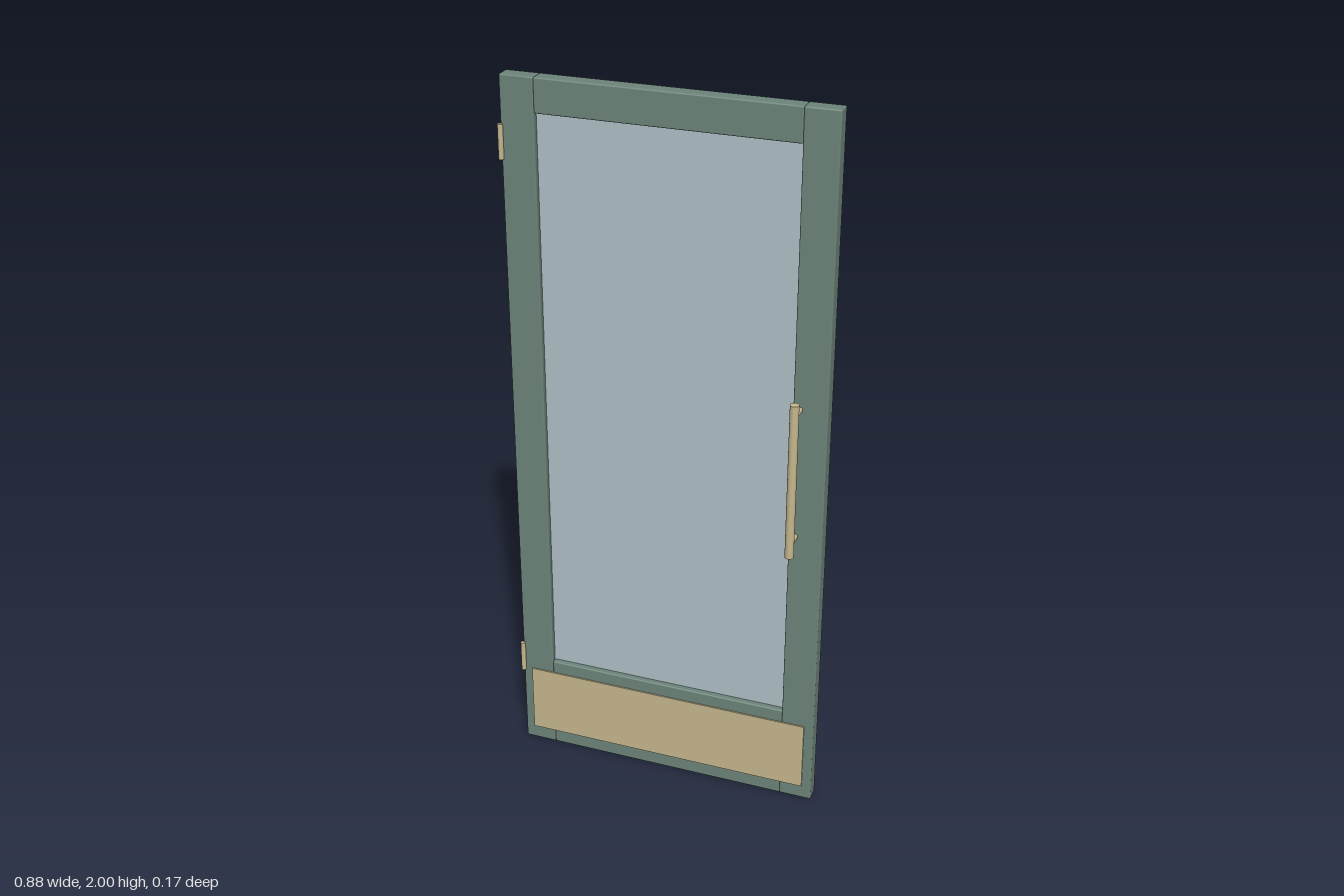
import * as THREE from 'three';
import { RoundedBoxGeometry } from 'three/addons/geometries/RoundedBoxGeometry.js';

export function createModel() {
  const door = new THREE.Group();
  door.name = 'glazedDoor';

  const material = (name, color) => {
    const m = new THREE.MeshStandardMaterial({ color });
    m.name = name;
    return m;
  };
  const green = material('green frame', 0x6d857a);
  const brass = material('brass', 0xc6b88e);
  const glass = material('pale blue glass', 0xb0c1c9);

  const add = (parent, name, geometry, mat, x, y, z) => {
    const mesh = new THREE.Mesh(geometry, mat);
    mesh.name = name;
    mesh.position.set(x, y, z);
    parent.add(mesh);
    return mesh;
  };

  const cx = 0.0035, width = 0.875, depth = 0.044, stile = 0.0917;
  const inner = width - 2 * stile;
  const topRail = 0.0917, bottomRail = 0.283;

  // Frame members with softened edges, so the joints read as fine grooves
  const member = (name, w, h, x, y) =>
    add(door, name, new RoundedBoxGeometry(w, h, depth, 2, 0.004), green, x, y, 0);
  member('leftStile', stile, 2, cx + (width - stile) / 2, 1);
  member('rightStile', stile, 2, cx - (width - stile) / 2, 1);
  member('topRail', inner, topRail, cx, 2 - topRail / 2);
  member('bottomRail', inner, bottomRail, cx, bottomRail / 2);

  // Glass pane, tucked slightly into the frame
  const paneHeight = 2 - topRail - bottomRail;
  add(door, 'glassPane', new THREE.BoxGeometry(inner + 0.01, paneHeight + 0.01, 0.012),
    glass, cx, bottomRail + paneHeight / 2, 0);

  // Kick plate and pull handle on both faces
  for (const [side, s] of [['front', 1], ['back', -1]]) {
    add(door, side + 'KickPlate', new THREE.BoxGeometry(0.822, 0.204, 0.004),
      brass, cx, 0.144, s * (depth / 2 + 0.002));

    const handle = new THREE.Group();
    handle.name = side + 'PullHandle';
    door.add(handle);
    add(handle, 'bar', new THREE.CylinderGeometry(0.012, 0.012, 0.442, 20),
      brass, 0.367, 1.031, s * 0.0705);
    for (const y of [0.846, 1.216]) {
      add(handle, 'post', new THREE.CylinderGeometry(0.0078, 0.0078, 0.0505, 16),
        brass, 0.367, y, s * 0.0453).rotation.x = Math.PI / 2;
    }
  }

  // Hinge knuckles on the front right edge
  for (const [name, y] of [['lowerHinge', 0.284], ['upperHinge', 1.828]]) {
    add(door, name, new THREE.CylinderGeometry(0.007, 0.007, 0.0917, 16),
      brass, -0.434, y, 0.0245);
  }

  return door;
}
